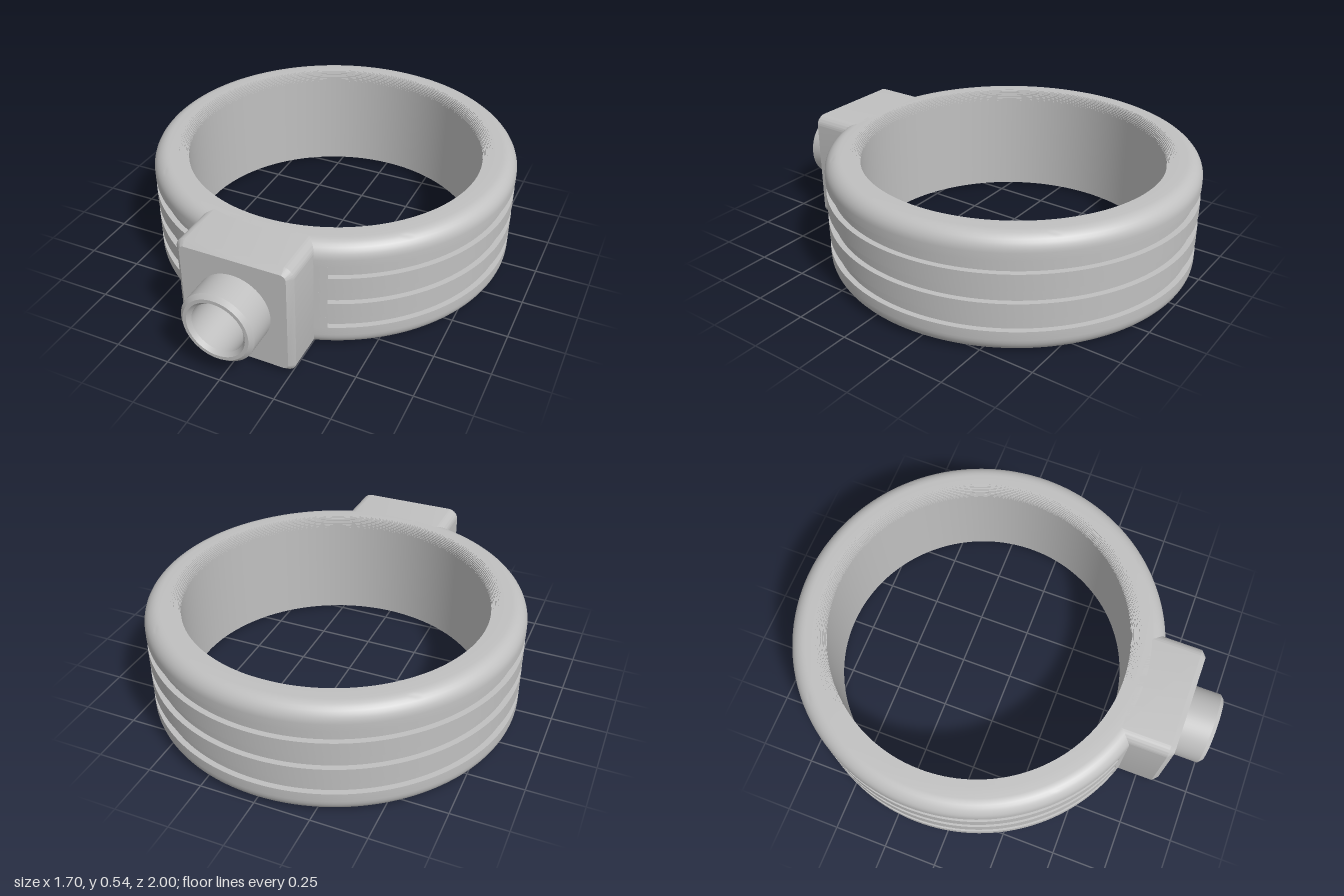
import * as THREE from 'three';
import { toCreasedNormals } from 'three/addons/utils/BufferGeometryUtils.js';

const HEIGHT = 0.535, OUTER = 0.85, INNER = 0.69, FLOOR = 0.825, RING_Z = -0.15;
const GROOVES = [[0.11, 0.165], [0.24, 0.298], [0.373, 0.43]];
const CREASE = 0.5;

function addMesh(group, name, geometry, material) {
  const mesh = new THREE.Mesh(toCreasedNormals(geometry, CREASE), material);
  mesh.name = name;
  group.add(mesh);
  return mesh;
}

function lathe(points, segments) {
  return new THREE.LatheGeometry(points.map(([r, y]) => new THREE.Vector2(r, y)), segments);
}

// Closed ring section: rounded outside, three grooves, finely stepped inner rims
function ringProfile() {
  const points = [];
  const round = 0.07, steps = 10, rim = 0.05;
  const outerArc = (centreY, from) => {
    for (let i = 0; i <= 8; i++) {
      const a = from + (i / 8) * Math.PI / 2;
      points.push([OUTER - round + round * Math.cos(a), centreY + round * Math.sin(a)]);
    }
  };
  outerArc(round, -Math.PI / 2);
  for (const [low, high] of GROOVES) {
    points.push([OUTER, low], [FLOOR, low], [FLOOR, high], [OUTER, high]);
  }
  outerArc(HEIGHT - round, 0);

  // Small terraces following a quarter circle down to the bore
  const terraces = [];
  let drop = 0;
  for (let i = 1; i <= steps; i++) {
    const a = (i / steps) * Math.PI / 2;
    const r = INNER + rim - rim * Math.sin(a);
    terraces.push([r, drop]);
    drop = rim * (1 - Math.cos(a));
    terraces.push([r, drop]);
  }
  for (const [r, d] of terraces) points.push([r, HEIGHT - d]);
  for (const [r, d] of terraces.reverse()) points.push([r, d]);
  points.push(points[0]);
  return points;
}

// Fills the front of a groove, with flat ends at x = +-0.32
function grooveStop(low, high) {
  const half = 0.32, a = Math.asin(half / OUTER);
  const shape = new THREE.Shape();
  shape.moveTo(half, 0.74);
  shape.absarc(0, 0, OUTER, Math.PI / 2 - a, Math.PI / 2 + a, false);
  shape.lineTo(-half, 0.74);
  shape.closePath();
  const geometry = new THREE.ExtrudeGeometry(shape, { depth: high - low, bevelEnabled: false, curveSegments: 24 });
  geometry.rotateX(Math.PI / 2);
  geometry.translate(0, high, RING_Z);
  return geometry;
}

// Rounded block with a chamfered front and an opening for the bore
function blockGeometry() {
  const bevel = 0.025, w = 0.265 - bevel, h = HEIGHT / 2 - bevel, r = 0.025;
  const shape = new THREE.Shape();
  shape.moveTo(-w + r, -h);
  shape.absarc(w - r, -h + r, r, -Math.PI / 2, 0, false);
  shape.absarc(w - r, h - r, r, 0, Math.PI / 2, false);
  shape.absarc(-w + r, h - r, r, Math.PI / 2, Math.PI, false);
  shape.absarc(-w + r, -h + r, r, Math.PI, Math.PI * 1.5, false);
  const hole = new THREE.Path();
  hole.absarc(0, 0, 0.146, 0, Math.PI * 2, true);
  shape.holes.push(hole);
  const back = 0.575, front = 0.85;
  const geometry = new THREE.ExtrudeGeometry(shape, {
    depth: front - back - 2 * bevel, bevelThickness: bevel, bevelSize: bevel, bevelSegments: 1, curveSegments: 16,
  });
  geometry.translate(0, HEIGHT / 2, back + bevel);
  return geometry;
}

export function createModel() {
  const model = new THREE.Group();
  model.name = 'ringWithNozzle';
  const grey = new THREE.MeshStandardMaterial({ color: 0xc0c0c0 });
  grey.name = 'grey';

  const ring = addMesh(model, 'ring', lathe(ringProfile(), 160), grey);
  ring.position.z = RING_Z;

  for (const [low, high] of GROOVES) addMesh(model, 'grooveStop', grooveStop(low, high), grey);

  addMesh(model, 'mountBlock', blockGeometry(), grey);

  // Hollow nozzle with chamfered lip and a closed bore
  const nozzle = lathe([
    [0.167, 0.84], [0.167, 0.982], [0.149, 1], [0.133, 1],
    [0.118, 0.983], [0.118, 0.7], [0, 0.7],
  ], 64);
  nozzle.rotateX(Math.PI / 2);
  nozzle.translate(0, HEIGHT / 2 + 0.003, 0);
  addMesh(model, 'nozzle', nozzle, grey);

  return model;
}
